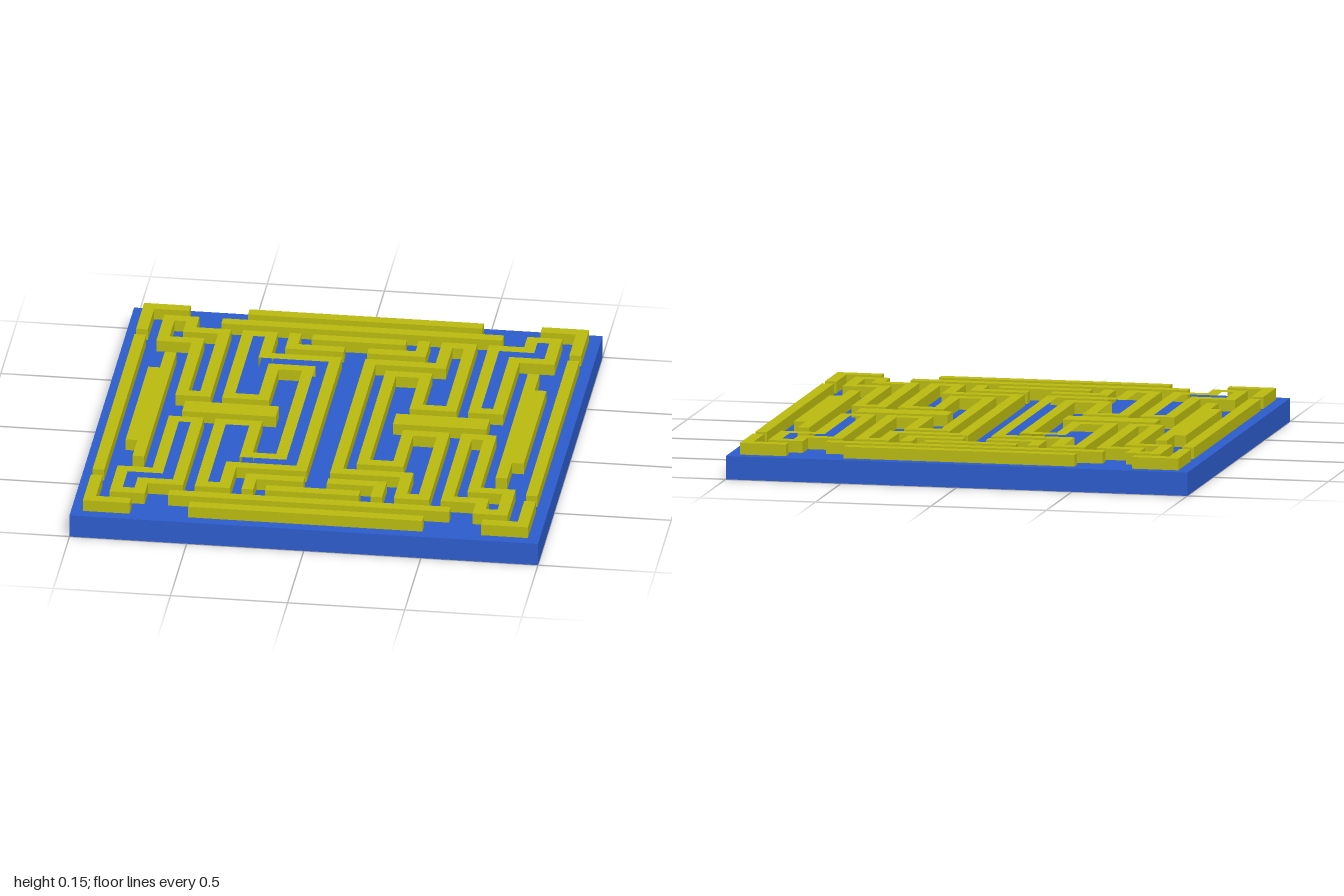
import * as THREE from 'three';

const BASE_H = 0.1, WALL_H = 0.05, HALF = 0.025;

// Outline of an axis-aligned centre line, offset to one side with mitred corners
function offsetLine(pts, closed, side) {
  const n = pts.length;
  const normal = (a, b) => {
    const d = new THREE.Vector2().subVectors(b, a).normalize();
    return new THREE.Vector2(-d.y, d.x);
  };
  return pts.map((p, i) => {
    const prev = closed || i > 0 ? normal(pts[(i + n - 1) % n], p) : null;
    const next = closed || i < n - 1 ? normal(p, pts[(i + 1) % n]) : null;
    const o = prev && next ? prev.add(next) : prev || next;
    return p.clone().addScaledVector(o, side * HALF);
  });
}

// Shape of a wall following a centre line given as [x, z] points
function wallShape(line, closed) {
  const pts = line.map(([x, z]) => new THREE.Vector2(x, -z));
  const a = offsetLine(pts, closed, 1), b = offsetLine(pts, closed, -1);
  if (!closed) return new THREE.Shape([...a, ...b.reverse()]);
  const aOuter = Math.abs(THREE.ShapeUtils.area(a)) > Math.abs(THREE.ShapeUtils.area(b));
  const shape = new THREE.Shape(aOuter ? a : b);
  shape.holes.push(new THREE.Path(aOuter ? b : a));
  return shape;
}

const solidShape = (pts) => new THREE.Shape(pts.map(([x, z]) => new THREE.Vector2(x, -z)));
const rect = (x0, x1, z0, z1) => solidShape([[x0, z0], [x1, z0], [x1, z1], [x0, z1]]);
const flip = (pts, sx, sz) => pts.map(([x, z]) => [x * sx, z * sz]);

export function createModel() {
  const model = new THREE.Group();
  const blue = new THREE.MeshStandardMaterial({ color: 0x2d5ccc });
  blue.name = 'blue';
  const yellow = new THREE.MeshStandardMaterial({ color: 0xbaba10 });
  yellow.name = 'yellow';

  // Base slab
  const base = new THREE.Mesh(new THREE.BoxGeometry(2, BASE_H, 2), blue);
  base.name = 'base';
  base.position.y = BASE_H / 2;
  model.add(base);

  const addWall = (name, shape) => {
    const geo = new THREE.ExtrudeGeometry(shape, { depth: WALL_H, bevelEnabled: false });
    geo.rotateX(-Math.PI / 2);
    const mesh = new THREE.Mesh(geo, yellow);
    mesh.name = name;
    mesh.position.y = BASE_H;
    model.add(mesh);
  };

  // Centre lines of one quarter
  const corner = [[0.75, 0.925], [0.925, 0.925], [0.925, 0.7]];
  const hook = [[0.275, 0.75], [0.275, 0.625], [0.05, 0.625]];
  const cornerLoop = [[0.825, 0.825], [0.825, 0.625], [0.675, 0.625], [0.675, 0.125],
    [0.575, 0.125], [0.575, 0.725], [0.725, 0.725], [0.725, 0.825]];

  // Half of the long winding loop, completed by its mirror image in z
  const halfLoop = [[0.075, 0.525], [0.375, 0.525], [0.375, 0.725], [0.475, 0.725],
    [0.475, 0.125], [0.325, 0.125], [0.325, 0.425], [0.175, 0.425]];
  const windingLoop = [...halfLoop, ...flip(halfLoop, 1, -1).reverse()];

  // Stepped double bar at the side
  const stepped = [[0.75, -0.5], [0.8, -0.5], [0.8, -0.35], [0.85, -0.35],
    [0.85, 0.35], [0.8, 0.35], [0.8, 0.5], [0.75, 0.5]];

  for (const sx of [1, -1]) {
    const side = sx > 0 ? 'left' : 'right';
    for (const sz of [1, -1]) {
      const where = side + (sz > 0 ? 'Front' : 'Back');
      addWall(where + 'CornerWall', wallShape(flip(corner, sx, sz), false));
      addWall(where + 'Hook', wallShape(flip(hook, sx, sz), false));
      addWall(where + 'CornerLoop', wallShape(flip(cornerLoop, sx, sz), true));
    }
    addWall(side + 'WindingLoop', wallShape(flip(windingLoop, sx, 1), true));
    addWall(side + 'SteppedBar', solidShape(flip(stepped, sx, 1)));
    addWall(side + 'EdgeBar', wallShape([[sx * 0.925, -0.65], [sx * 0.925, 0.65]], false));
    addWall(side + 'CentreBar', rect(sx * 0.45 - 0.2, sx * 0.45 + 0.2, -0.05, 0.05));
  }

  // Straight bars along the front and back: half length, z
  for (const sz of [1, -1]) {
    const end = sz > 0 ? 'front' : 'back';
    [['OuterBar', 0.5, 0.925], ['MiddleBar', 0.6, 0.825], ['InnerBar', 0.2, 0.725]].forEach(
      ([name, h, z]) => addWall(end + name, wallShape([[-h, z * sz], [h, z * sz]], false)));
  }
  return model;
}
